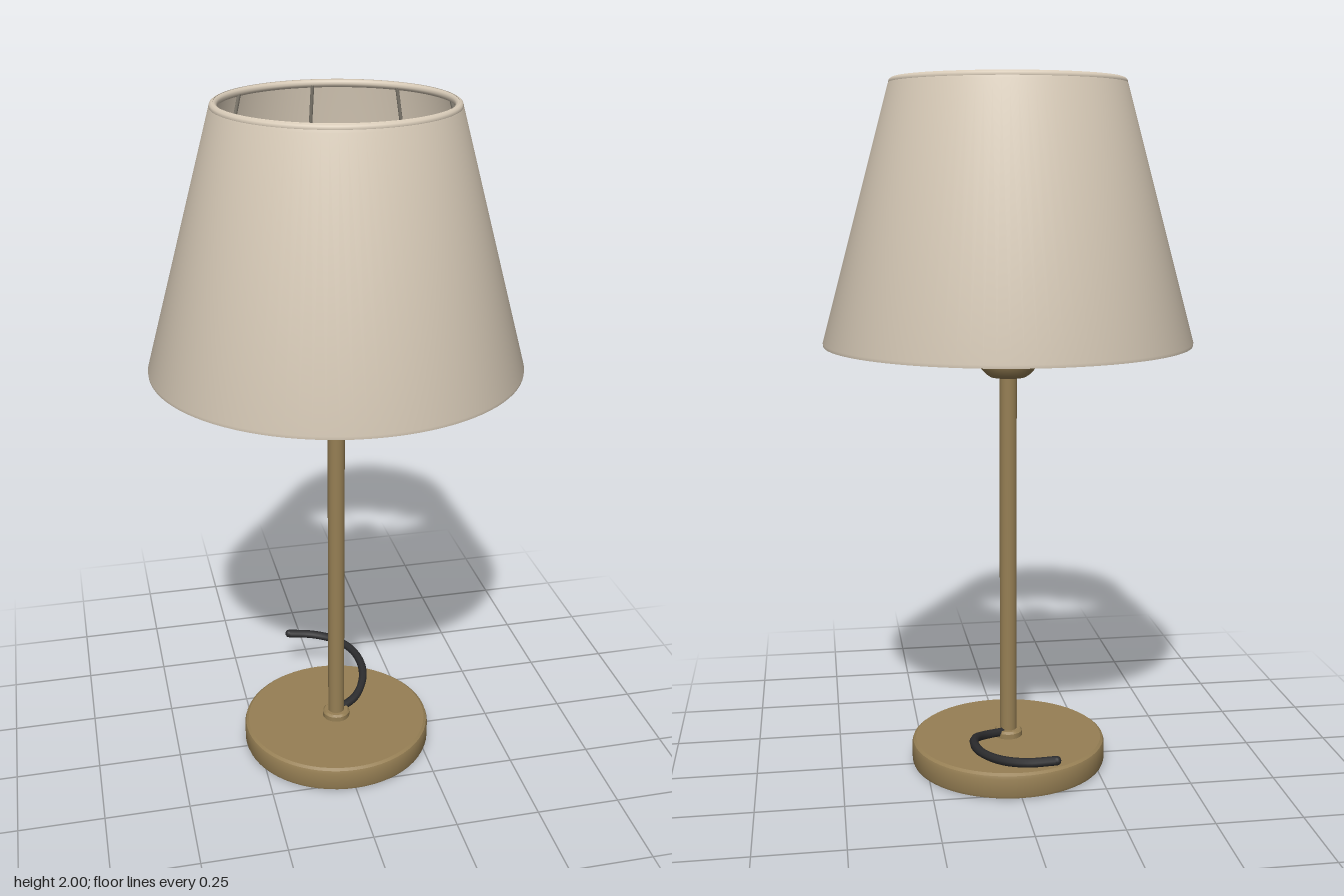
import * as THREE from 'three';
import { toCreasedNormals } from 'three/addons/utils/BufferGeometryUtils.js';

const material = (name, color) => Object.assign(new THREE.MeshStandardMaterial({ color }), { name });

export function createModel() {
  const lamp = new THREE.Group();
  lamp.name = 'tableLamp';
  const fabric = material('linen', 0xd8cbb8);
  const brass = material('brass', 0x967f54);
  const rubber = material('black rubber', 0x2c2c2e);
  const steel = material('wire steel', 0x8a8478);

  const add = (name, geometry, mat, parent = lamp) => {
    const mesh = new THREE.Mesh(geometry, mat);
    mesh.name = name;
    parent.add(mesh);
    return mesh;
  };
  // Profiles run counterclockwise in (radius, height)
  const turned = (points, segments = 64) => toCreasedNormals(
    new THREE.LatheGeometry(points.map(([r, y]) => new THREE.Vector2(r, y)), segments), 0.6);
  const tube = (points, radius, segments = 20) => new THREE.TubeGeometry(
    new THREE.CatmullRomCurve3(points.map(p => new THREE.Vector3(...p))), segments, radius, 8);

  // Base disc with a shallow recess underneath
  add('base', turned([
    [0, 0.035], [0.235, 0.035], [0.24, 0], [0.278, 0], [0.286, 0.004], [0.289, 0.012],
    [0.289, 0.062], [0.286, 0.071], [0.278, 0.077], [0, 0.077],
  ]), brass).scale.z = 0.98;

  // Stem and its foot collar
  add('stemCollar', turned([
    [0, 0.07], [0.042, 0.07], [0.042, 0.092], [0.036, 0.098], [0, 0.098],
  ], 32), brass);
  const stem = add('stem', new THREE.CylinderGeometry(0.025, 0.025, 1.11, 24), brass);
  stem.position.y = 0.635;

  // Socket cup rising inside the shade, closed by a dome
  add('socket', turned([
    [0, 1.17], [0.052, 1.17], [0.064, 1.178], [0.084, 1.2], [0.087, 1.215],
    [0.087, 1.56], [0.08, 1.575], [0.07, 1.575], [0.07, 1.6],
    [0.065, 1.63], [0.05, 1.655], [0.028, 1.671], [0, 1.675],
  ], 40), brass);

  // Shade wall with rolled hems
  const shade = new THREE.Group();
  shade.name = 'shade';
  shade.scale.z = 0.98;
  lamp.add(shade);
  add('shadeWall', turned([
    [0.514, 1.266], [0.524, 1.266], [0.525, 1.275], [0.332, 1.98], [0.326, 1.995],
    [0.318, 2], [0.318, 1.99], [0.514, 1.27], [0.514, 1.266],
  ], 96), fabric, shade);
  for (const [name, radius, y] of [['topHem', 0.319, 1.988], ['bottomHem', 0.512, 1.277]]) {
    const hem = add(name, new THREE.TorusGeometry(radius, 0.011, 10, 96), fabric, shade);
    hem.rotation.x = Math.PI / 2;
    hem.position.y = y;
  }

  // Eight wire ribs on the wall and eight arched arms to the socket
  for (let i = 0; i < 8; i++) {
    const spoke = new THREE.Group();
    spoke.name = 'wireSpoke';
    spoke.rotation.y = i * Math.PI / 4;
    shade.add(spoke);
    add('rib', tube([[0.505, 1.28, 0], [0.408, 1.635, 0], [0.311, 1.985, 0]], 0.005, 6), steel, spoke);
    add('arm', tube([
      [0.08, 1.5, 0], [0.2, 1.49, 0], [0.33, 1.44, 0], [0.43, 1.37, 0], [0.505, 1.28, 0],
    ], 0.005), steel, spoke);
  }

  // Loose cord curling off behind the stem
  const cordPath = [
    [0.015, 0.09, -0.01], [0.075, 0.1, -0.05], [0.112, 0.118, -0.11], [0.124, 0.13, -0.18],
    [0.11, 0.138, -0.26], [0.065, 0.143, -0.325], [0, 0.148, -0.362], [-0.08, 0.155, -0.375],
  ];
  add('cord', tube(cordPath, 0.013, 48), rubber);
  add('cordEnd', new THREE.SphereGeometry(0.013, 12, 8), rubber).position.set(...cordPath.at(-1));

  return lamp;
}
